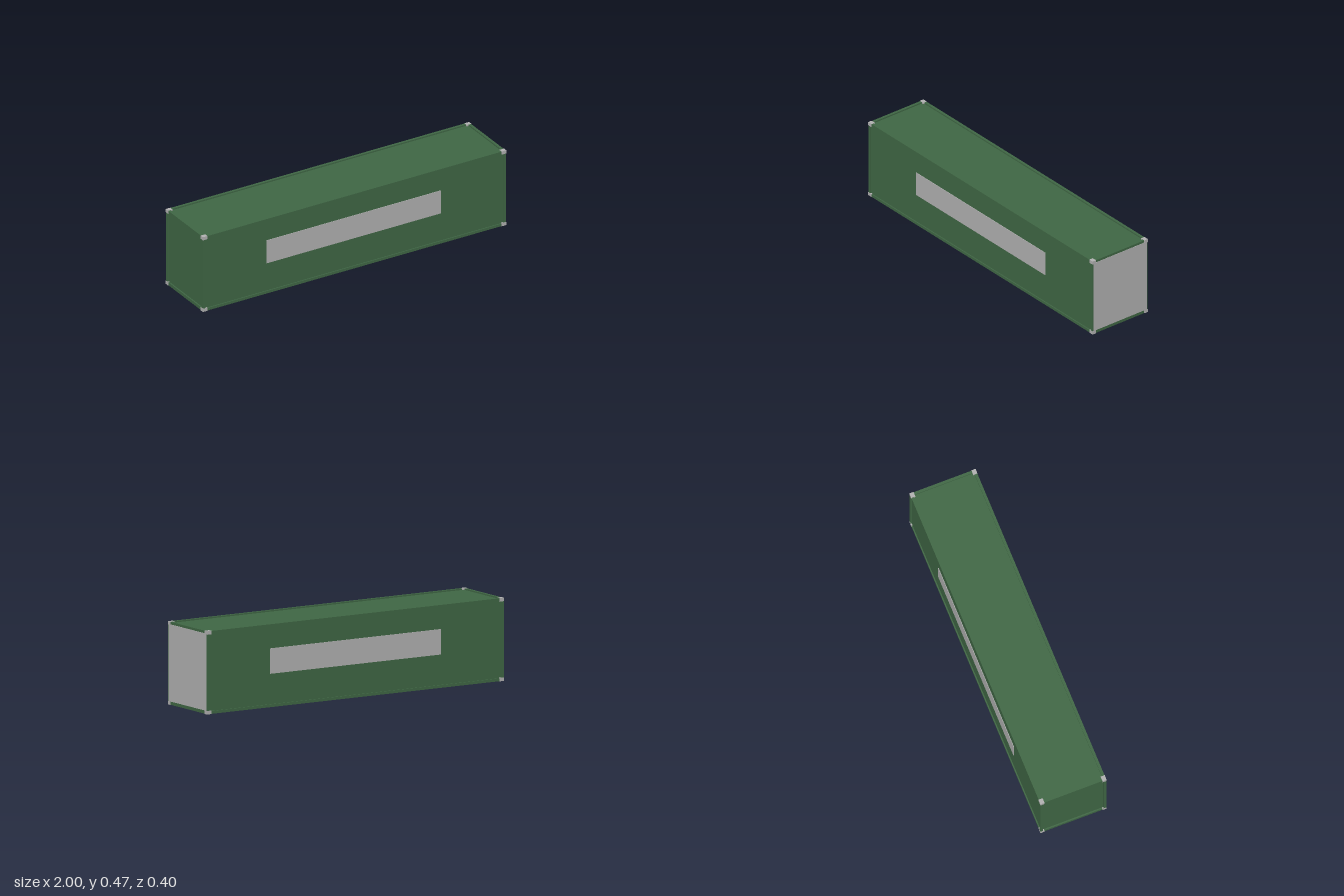
import * as THREE from 'three';

const green = new THREE.MeshStandardMaterial({ color: 0x406845 });
green.name = 'container green';
const grey = new THREE.MeshStandardMaterial({ color: 0xb3b3b3 });
grey.name = 'light grey';

const X = 1, H = 0.475, Z = 0.2;

// Box given by its lower and upper corners
function box(parent, name, material, [x0, y0, z0], [x1, y1, z1]) {
  const mesh = new THREE.Mesh(new THREE.BoxGeometry(x1 - x0, y1 - y0, z1 - z0), material);
  mesh.position.set((x0 + x1) / 2, (y0 + y1) / 2, (z0 + z1) / 2);
  mesh.name = name;
  parent.add(mesh);
  return mesh;
}

// Box of a given size and centre
function block(parent, name, material, size, centre) {
  return box(parent, name, material,
    centre.map((c, i) => c - size[i] / 2), centre.map((c, i) => c + size[i] / 2));
}

export function createModel() {
  const model = new THREE.Group();
  model.name = 'shippingContainer';

  // Recessed thin walls and roof, open underneath
  const shell = new THREE.Group();
  shell.name = 'shell';
  model.add(shell);
  box(shell, 'roof', green, [-0.99, 0.461, -0.191], [0.99, 0.466, 0.191]);
  box(shell, 'endWall', green, [-0.99, 0.005, -0.19], [-0.985, 0.465, 0.19]);
  for (const s of [-1, 1]) {
    block(shell, 'sideWall', green, [1.975, 0.46, 0.005], [0, 0.235, s * 0.19]);
    // Blank sign panel on each long side
    block(shell, 'sidePanel', grey, [1.15, 0.145, 0.003], [-0.003, 0.263, s * 0.194]);
  }

  // Door plate filling the right-hand end
  box(model, 'doors', grey, [0.99, 0.02, -0.193], [X, 0.46, 0.193]);

  // Frame of rails and posts
  const frame = new THREE.Group();
  frame.name = 'frame';
  model.add(frame);
  const inset = 0.001;
  for (const sz of [-1, 1]) {
    for (const y of [0.008 + inset, H - 0.008 - inset])
      block(frame, 'longRail', green, [1.95, 0.016, 0.016], [0, y, sz * (Z - 0.008 - inset)]);
    block(frame, 'endPost', green, [0.016, 0.44, 0.016], [-X + 0.008 + inset, 0.2375, sz * (Z - 0.008 - inset)]);
    block(frame, 'doorPost', green, [0.016, 0.44, 0.007], [X - 0.01, 0.2375, sz * (Z - 0.0035 - inset)]);
  }
  for (const sx of [-1, 1]) {
    box(frame, 'lowerCrossRail', green,
      [sx * (X - 0.01) - 0.008, inset, -0.176], [sx * (X - 0.01) + 0.008, 0.02, 0.176]);
    box(frame, 'upperCrossRail', green,
      [sx * (X - 0.01) - 0.008, 0.46, -0.176], [sx * (X - 0.01) + 0.008, H - inset, 0.176]);
  }

  // Corner castings
  const corners = new THREE.Group();
  corners.name = 'cornerCastings';
  model.add(corners);
  for (const sx of [-1, 1])
    for (const y of [0.01, H - 0.01])
      for (const sz of [-1, 1])
        block(corners, 'cornerCasting', grey, [0.03, 0.02, 0.025], [sx * (X - 0.015), y, sz * (Z - 0.0125)]);

  return model;
}
